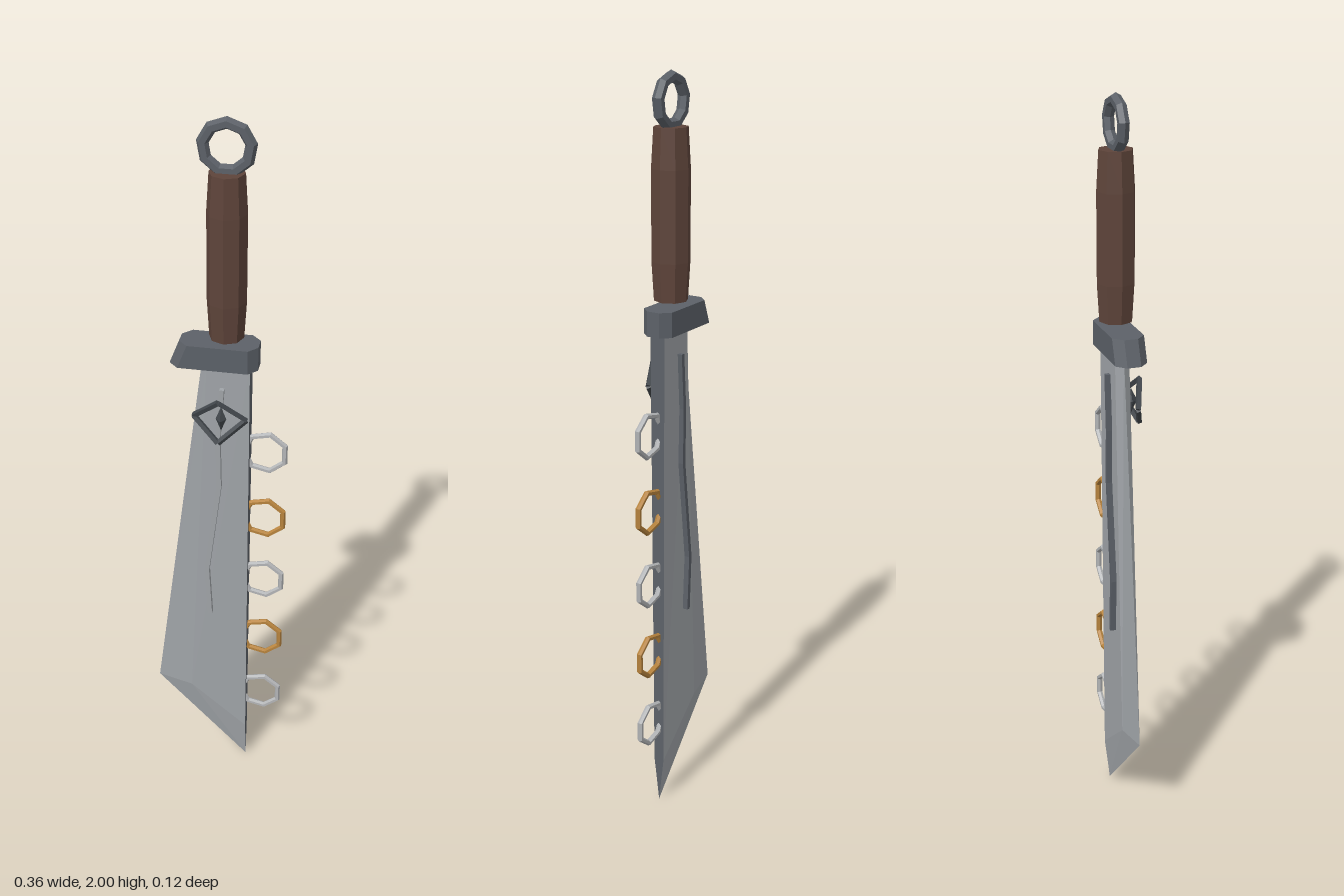
import * as THREE from 'three';

const mat = (name, color) => {
  const m = new THREE.MeshStandardMaterial({ color, flatShading: true });
  m.name = name;
  return m;
};

// Triangulates convex faces given as lists of corners
function facesGeometry(faces) {
  const pos = [];
  for (const f of faces)
    for (let i = 1; i < f.length - 1; i++) pos.push(...f[0], ...f[i], ...f[i + 1]);
  const g = new THREE.BufferGeometry();
  g.setAttribute('position', new THREE.Float32BufferAttribute(pos, 3));
  g.computeVertexNormals();
  return g;
}

// Closed prism between two matching loops (counter-clockwise from above)
function loft(bottom, top) {
  const faces = [[...bottom].reverse(), top];
  bottom.forEach((p, i) => {
    const j = (i + 1) % bottom.length;
    faces.push([p, bottom[j], top[j], top[i]]);
  });
  return facesGeometry(faces);
}

export function createModel() {
  const group = new THREE.Group();
  group.position.z = -0.01;
  const steel = mat('blade steel', 0xa0a4a8);
  const dark = mat('dark steel', 0x5c6168);
  const iron = mat('emblem iron', 0x43484d);
  const wood = mat('brown wood', 0x5e443a);
  const silver = mat('silver', 0xb4b6b8);
  const gold = mat('gold', 0xb8843e);

  const add = (name, geometry, material, x = 0, y = 0, z = 0) => {
    const m = new THREE.Mesh(geometry, material);
    m.name = name;
    m.position.set(x, y, z);
    group.add(m);
    return m;
  };
  const bar = (name, a, b, r, material) => {
    const d = new THREE.Vector3().subVectors(b, a);
    const m = add(name, new THREE.CylinderGeometry(r, r, d.length(), 4), material);
    m.position.addVectors(a, b).multiplyScalar(0.5);
    m.quaternion.setFromUnitVectors(new THREE.Vector3(0, 1, 0), d.normalize());
  };

  // Blade: flat cheeks, sharpened bevels and a point
  const edgeTop = [-0.045, 1.37, 0], corner = [-0.18, 0.28, 0], tip = [0.08, 0, 0];
  const side = s => ({
    spineTop: [0.08, 1.37, s * 0.021], ridgeTop: [-0.03, 1.37, s * 0.019],
    ridgeLow: [-0.08, 0.27, s * 0.016], spineLow: [0.08, 0.13, s * 0.015],
  });
  const f = side(1), b = side(-1);
  const cheeks = p => [
    [p.spineTop, p.ridgeTop, p.ridgeLow, p.spineLow],
    [p.ridgeTop, edgeTop, corner, p.ridgeLow],
    [p.ridgeLow, corner, tip],
    [p.ridgeLow, tip, p.spineLow],
  ];
  add('blade', facesGeometry([...cheeks(f), ...cheeks(b).map(c => c.reverse())]), steel);
  add('bladeSpine', facesGeometry([
    [f.spineTop, f.spineLow, b.spineLow, b.spineTop],
    [f.spineLow, tip, b.spineLow],
  ]), dark);

  // Wavy inlay strip on each cheek
  const path = [[0.01, 1.3], [0, 1.15], [0.003, 1.0], [-0.03, 0.72], [-0.022, 0.565]];
  const w = 0.006;
  for (const s of [-1, 1]) {
    const shape = new THREE.Shape([
      ...path.map(([x, y]) => new THREE.Vector2(x - w, y)),
      ...[...path].reverse().map(([x, y]) => new THREE.Vector2(x + w, y)),
    ]);
    const g = new THREE.ExtrudeGeometry(shape, { depth: 0.015, bevelEnabled: false });
    add('bladeInlay', g, s > 0 ? steel : dark, 0, 0, s * 0.0245 - 0.0075);
  }

  // Guard with chamfered ends and a slanted left end
  const ring = (y, left) => [
    [left, y, 0.018], [left + 0.024, y, 0.042], [0.077, y, 0.042], [0.1, y, 0.018],
    [0.1, y, -0.018], [0.077, y, -0.042], [left + 0.024, y, -0.042], [left, y, -0.018],
  ];
  add('guard', loft(ring(1.36, -0.125), ring(1.425, -0.1)), dark);

  // Barrel-shaped octagonal grip
  const profile = [[0, 0], [0.044, 0], [0.05, 0.1], [0.05, 0.33], [0.044, 0.43], [0, 0.43]];
  add('grip', new THREE.LatheGeometry(profile.map(p => new THREE.Vector2(...p)), 8), wood, 0.017, 1.44);

  // Pommel ring
  const pommel = add('pommelRing', new THREE.TorusGeometry(0.058, 0.015, 6, 9), dark, 0.016, 1.93);
  pommel.rotation.z = Math.PI / 2;

  // Rings along the spine
  for (let i = 0; i < 5; i++) {
    const r = add('spineRing', new THREE.TorusGeometry(0.057, 0.008, 6, 7), i % 2 ? gold : silver,
      0.12, 1.106 - i * 0.21);
    r.rotation.z = Math.PI;
  }

  // Folded diamond emblem with a spindle inside
  const diamond = [[0.068, 0, 0.033], [0, 0.06, 0.06], [-0.068, 0, 0.033], [0, -0.06, 0.06]]
    .map(([x, y, z]) => new THREE.Vector3(x + 0.006, y + 1.22, z));
  diamond.forEach((p, i) => bar('emblemFrame', p, diamond[(i + 1) % 4], 0.008, iron));
  const spindle = add('emblemSpindle', new THREE.OctahedronGeometry(0.035), iron, 0.01, 1.22, 0.038);
  spindle.scale.set(0.4, 1, 0.5);

  return group;
}
